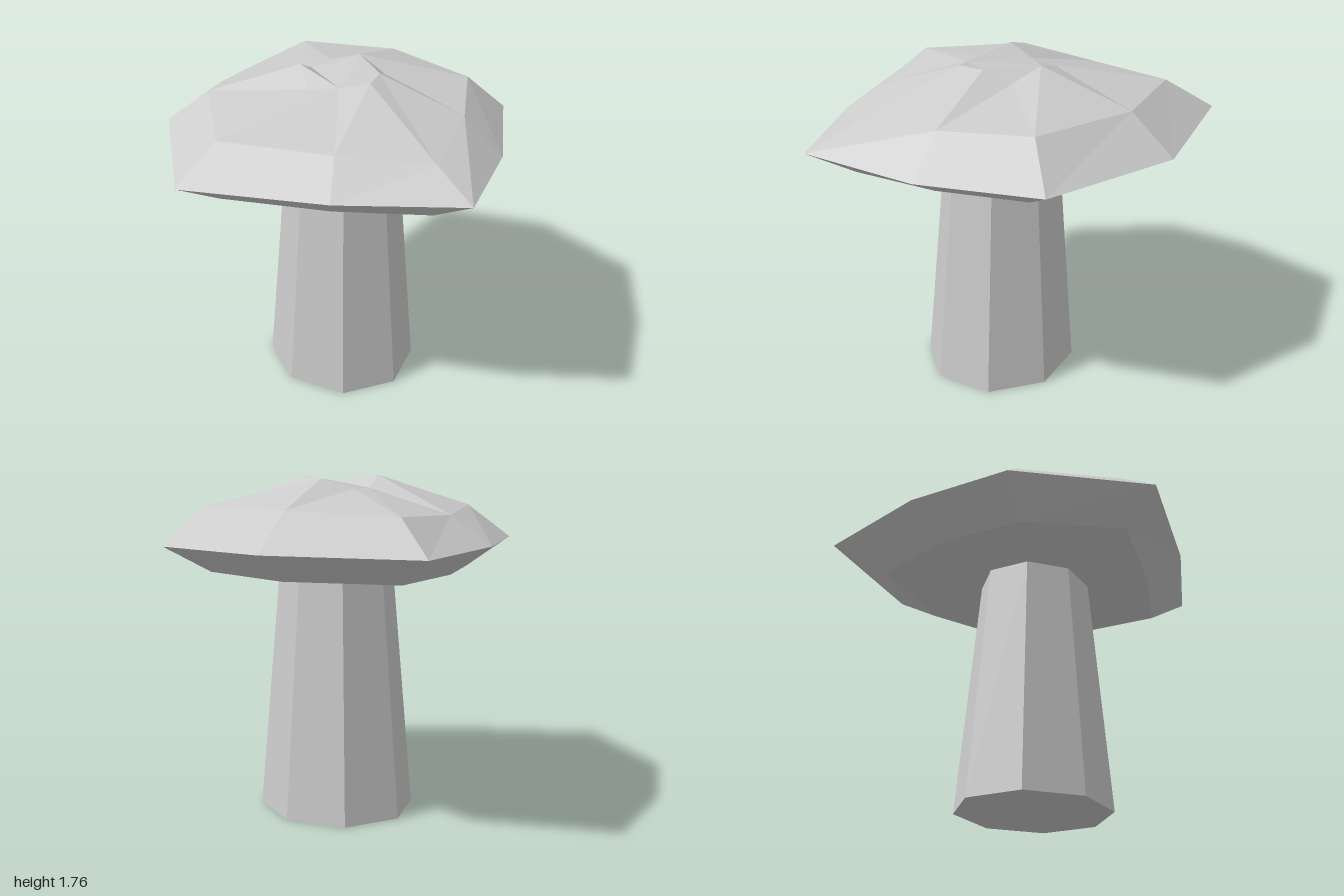
import * as THREE from 'three';

const grey = new THREE.MeshStandardMaterial({ color: 0xcccccc, flatShading: true });
grey.name = 'stone grey';

// Cap cross-sections, nine corners each, running from the back right round the front
const rim = [[-1, 1.43, -0.6], [-0.91, 1.44, 0.03], [-0.69, 1.445, 0.54], [-0.08, 1.42, 0.94], [0.53, 1.43, 0.54],
  [1, 1.445, 0.12], [0.75, 1.42, -0.41], [0.38, 1.425, -0.89], [-0.34, 1.435, -0.95]];
const shoulder = [[-0.76, 1.595, -0.48], [-0.69, 1.58, 0], [-0.53, 1.61, 0.39], [-0.07, 1.59, 0.7], [0.4, 1.575, 0.39],
  [0.75, 1.545, 0.08], [0.56, 1.6, -0.33], [0.28, 1.62, -0.69], [-0.28, 1.615, -0.72]];
const crown = [[-0.25, 1.7, -0.2], [-0.23, 1.7, -0.05], [-0.18, 1.765, 0.07], [-0.03, 1.7, 0.16], [0.1, 1.72, 0.07],
  [0.21, 1.75, -0.03], [0.16, 1.75, -0.15], [0.08, 1.695, -0.27], [-0.1, 1.75, -0.27]];

function capGeometry() {
  const under = rim.map(([x, , z]) => [x * 0.75, 1.29, z * 0.75]);
  const rings = [under, rim, shoulder, crown];
  const n = rim.length;
  const index = [];
  // Side bands between neighbouring rings
  for (let r = 0; r < rings.length - 1; r++) {
    for (let i = 0; i < n; i++) {
      const a = r * n + i, b = r * n + (i + 1) % n;
      index.push(a, b, b + n, a, b + n, a + n);
    }
  }
  // Flat underside
  for (let i = 1; i < n - 1; i++) index.push(0, i + 1, i);
  // Uneven crown
  const top = 3 * n;
  [[2, 3, 4], [1, 2, 4], [0, 1, 8], [1, 4, 8], [4, 6, 8], [4, 5, 6], [6, 7, 8]]
    .forEach(t => t.forEach(i => index.push(top + i)));

  const indexed = new THREE.BufferGeometry();
  indexed.setAttribute('position', new THREE.Float32BufferAttribute(rings.flat(2), 3));
  indexed.setIndex(index);
  const geometry = indexed.toNonIndexed();
  geometry.computeVertexNormals();
  return geometry;
}

export function createModel() {
  const group = new THREE.Group();
  group.name = 'mushroom';

  // Tapered eight-sided stem
  const stem = new THREE.Mesh(new THREE.CylinderGeometry(0.725, 1, 1.29, 8), grey);
  stem.name = 'stem';
  stem.scale.set(0.423, 1, 0.393);
  stem.position.set(-0.02, 0.645, -0.067);
  group.add(stem);

  // Irregular faceted cap
  const cap = new THREE.Mesh(capGeometry(), grey);
  cap.name = 'cap';
  group.add(cap);

  return group;
}
